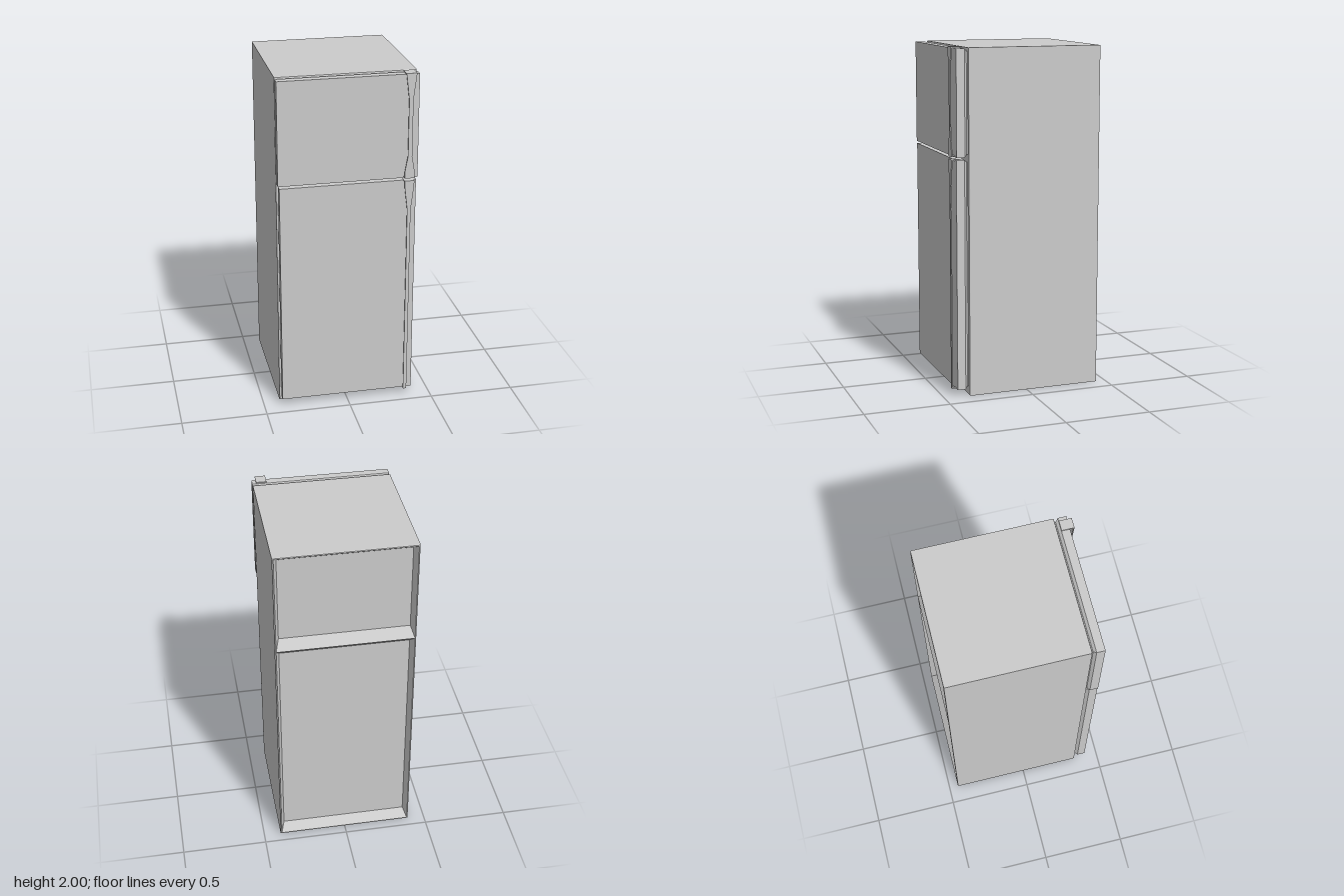
import * as THREE from 'three';

const material = new THREE.MeshStandardMaterial({ color: 0xcccccc, flatShading: true, side: THREE.DoubleSide });

// Skin a run of rectangles [x0, x1, y0, y1, z], ordered from front to back
function loft(name, rects, capFront = true, capBack = true) {
  const position = [], index = [];
  for (const [x0, x1, y0, y1, z] of rects) {
    position.push(x0, y0, z, x1, y0, z, x1, y1, z, x0, y1, z);
  }
  for (let i = 0; i < rects.length - 1; i++) {
    for (let k = 0; k < 4; k++) {
      const a = i * 4 + k, b = i * 4 + (k + 1) % 4;
      index.push(a, a + 4, b + 4, a, b + 4, b);
    }
  }
  const e = (rects.length - 1) * 4;
  if (capFront) index.push(0, 1, 2, 0, 2, 3);
  if (capBack) index.push(e, e + 2, e + 1, e, e + 3, e + 2);
  const indexed = new THREE.BufferGeometry();
  indexed.setAttribute('position', new THREE.Float32BufferAttribute(position, 3));
  indexed.setIndex(index);
  const geometry = indexed.toNonIndexed();
  geometry.computeVertexNormals();
  const mesh = new THREE.Mesh(geometry, material);
  mesh.name = name;
  return mesh;
}

// Door slab with a narrow gasket neck and a chamfered rear edge
function door(name, w, y0, y1) {
  const ring = (inset, z) => [-w + inset, w - inset, y0 + inset, y1 - inset, z];
  return loft(name, [ring(0, 0.42), ring(0, 0.372), ring(0.014, 0.357), ring(0.014, 0.345)]);
}

// Handle: tapered front plate, given as [half width, y], with an end block
function handle(name, profile, capY) {
  const group = new THREE.Group();
  group.name = name;
  const x = 0.348;
  const outline = [
    ...profile.map(([w, y]) => new THREE.Vector2(x + w, y)),
    ...profile.slice().reverse().map(([w, y]) => new THREE.Vector2(x - w, y)),
  ];
  const plate = new THREE.Mesh(
    new THREE.ExtrudeGeometry(new THREE.Shape(outline), { depth: 0.006, bevelEnabled: false }), material);
  plate.position.z = 0.438;
  plate.name = name + 'Plate';
  group.add(plate);
  for (const [w, y] of capY) {
    const cap = new THREE.Mesh(new THREE.BoxGeometry(w * 2, 0.006, 0.07), material);
    cap.position.set(x, y, 0.407);
    cap.name = name + 'End';
    group.add(cap);
  }
  return group;
}

export function createModel() {
  const model = new THREE.Group();
  model.name = 'refrigerator';

  // Cabinet shell with softened edges, open at the back for the recesses
  const shell = (inset, z) => [-0.4 + inset, 0.4 - inset, inset, 1.995 - inset, z];
  model.add(loft('cabinet', [
    shell(0.008, 0.35), shell(0.002, 0.348), shell(0, 0.342),
    shell(0, -0.437), shell(0.002, -0.443), shell(0.008, -0.445),
  ], true, false));

  // Two sloping recesses in the back, meeting in a ridge
  const recess = (name, y0, y1, bottom, top) => loft(name, [
    [-0.392, 0.392, y0, y1, -0.445],
    [-0.372, 0.372, y0 + bottom, y1 - top, -0.4],
  ], false, true);
  model.add(recess('upperBackPanel', 1.385, 1.987, 0.06, 0.03));
  model.add(recess('lowerBackPanel', 0.008, 1.385, 0.05, 0.04));

  // Doors
  model.add(door('freezerDoor', 0.4, 1.387, 1.99));
  model.add(door('lowerDoor', 0.392, 0.04, 1.373));

  // Handles
  model.add(handle('freezerHandle', [
    [0.028, 1.39], [0.028, 1.43], [0.012, 1.52], [0.012, 1.85], [0.03, 2],
  ], [[0.028, 1.393], [0.03, 1.997]]));
  model.add(handle('lowerHandle', [
    [0.01, 0.04], [0.01, 1.2], [0.027, 1.34], [0.028, 1.375],
  ], [[0.01, 0.043], [0.028, 1.372]]));

  return model;
}
